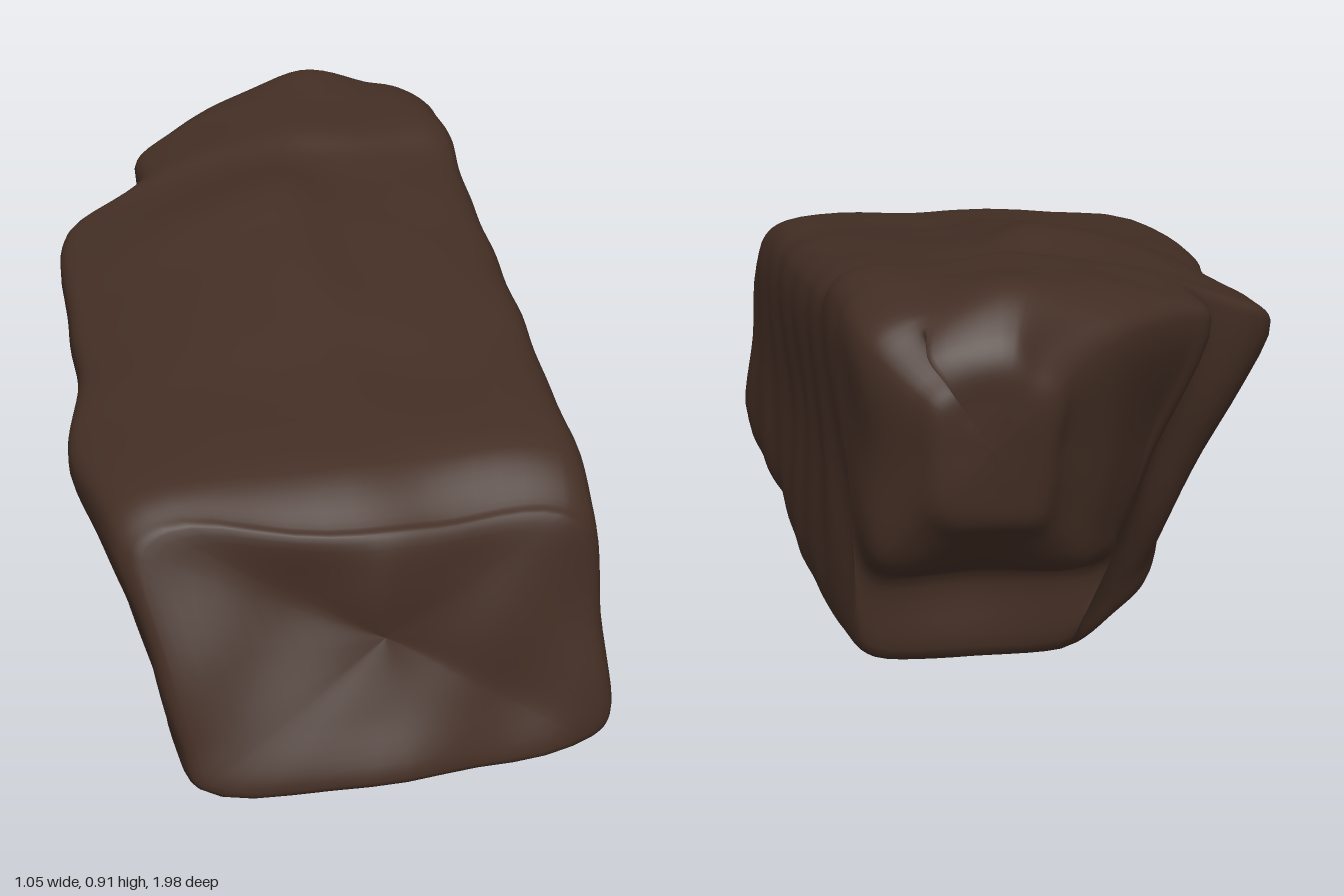
import * as THREE from 'three';

// Cross-sections from front to back:
// zBottom, zTop, yBottom, yLeft, yPeak, yRight, xBottomLeft, xLeft, xPeak, xRight, xBottomRight
const SECTIONS = [
  [0.99, 0.83, 0.01, 0.49, 0.50, 0.50, -0.36, -0.44, 0.00, 0.48, 0.51],
  [0.82, 0.72, 0.00, 0.52, 0.58, 0.58, -0.37, -0.47, 0.00, 0.485, 0.52],
  [0.45, 0.38, 0.01, 0.54, 0.645, 0.64, -0.37, -0.52, 0.00, 0.485, 0.52],
  [0.20, 0.20, 0.02, 0.57, 0.70, 0.68, -0.35, -0.48, 0.00, 0.485, 0.505],
  [-0.05, -0.05, 0.02, 0.60, 0.77, 0.72, -0.33, -0.47, 0.00, 0.485, 0.505],
  [-0.25, -0.23, 0.03, 0.635, 0.815, 0.75, -0.27, -0.465, 0.00, 0.485, 0.505],
  [-0.44, -0.44, 0.035, 0.67, 0.81, 0.79, -0.19, -0.44, 0.05, 0.49, 0.495],
  [-0.56, -0.54, 0.045, 0.75, 0.845, 0.835, -0.10, -0.265, 0.10, 0.49, 0.49],
  [-0.69, -0.68, 0.06, 0.76, 0.86, 0.85, 0.00, -0.25, 0.13, 0.49, 0.46],
  [-0.71, -0.74, 0.24, 0.78, 0.87, 0.85, -0.06, -0.19, 0.15, 0.49, 0.46],
  [-0.83, -0.87, 0.30, 0.80, 0.88, 0.83, 0.01, -0.04, 0.18, 0.46, 0.44],
  [-0.92, -0.95, 0.40, 0.76, 0.82, 0.76, 0.10, 0.08, 0.20, 0.38, 0.38],
];
const AROUND = 78;
const ALONG = 6;

// One closed ring with chamfered corners, leaning in z from bottom to top
function makeRing([zB, zT, yB, yL, yP, yR, xBL, xL, xP, xR, xBR], index) {
  const corners = [
    [xBL + 0.03, yB], [(xBL + xBR) / 2, yB], [xBR - 0.04, yB + 0.01], [xBR, yB + 0.05],
    [(xBR + xR) / 2, (yB + yR) / 2], [xR, yR - 0.05], [xR - 0.06, yR],
    [xP + 0.16, yP + (yR - yP) * 0.7], [xP, yP], [xL + 0.06, yL + 0.02], [xL, yL - 0.03],
    [xBL + (xL - xBL) * 0.45, (yB + yL) / 2], [xBL, yB + 0.08],
  ];
  const skew = [0.22, 0.1][index] ?? 0; // the front face turns back at both sides
  const points = corners.map(([x, y]) => {
    const v = (y - yB) / (yP - yB);
    const turn = skew * Math.max(x * (1 - 0.7 * v), -0.75 * x);
    return new THREE.Vector3(x, y, zB + (zT - zB) * v - turn);
  });
  const curve = new THREE.CatmullRomCurve3(points, true);
  return Array.from({ length: AROUND }, (_, j) => curve.getPoint(j / AROUND));
}

// Rings shrunk towards the centre close an end
function shrinkRing(ring, scale, push) {
  const centre = new THREE.Vector3();
  ring.forEach((p) => centre.addScaledVector(p, 1 / ring.length));
  return ring.map((p) => {
    const q = centre.clone().lerp(p, scale);
    q.z += push;
    return q;
  });
}

// Smooth, gentle dents in the surface
function weather(p) {
  const { x, y, z } = p;
  p.x += 0.003 * Math.sin(11 * y + 7 * z + 1) + 0.002 * Math.sin(23 * z - 13 * y);
  p.y += 0.002 * Math.sin(9 * x + 8 * z) + 0.002 * Math.sin(19 * x - 17 * z + 2);
  p.z += 0.004 * Math.sin(10 * x + 12 * y + 2) + 0.003 * Math.sin(21 * x - 16 * y);
}

function makeRockGeometry() {
  const body = SECTIONS.map(makeRing);
  const front = body[0];
  const back = body[body.length - 1];
  const rings = [
    shrinkRing(front, 0, 0.03), shrinkRing(front, 0.5, 0.03), shrinkRing(front, 0.94, 0.02),
    ...body,
    shrinkRing(back, 0.75, -0.035), shrinkRing(back, 0.4, -0.045), shrinkRing(back, 0, -0.05),
  ];

  // Smooth each lengthwise line through the rings
  const rows = (rings.length - 1) * ALONG;
  const lines = Array.from({ length: AROUND }, (_, j) =>
    new THREE.CatmullRomCurve3(rings.map((ring) => ring[j])));
  const positions = [];
  const indices = [];
  for (let i = 0; i <= rows; i++) {
    for (let j = 0; j < AROUND; j++) {
      const p = lines[j].getPoint(i / rows);
      weather(p);
      positions.push(p.x, p.y, p.z);
      if (i === rows) continue;
      const a = i * AROUND + j;
      const b = i * AROUND + ((j + 1) % AROUND);
      indices.push(a, a + AROUND, b, b, a + AROUND, b + AROUND);
    }
  }
  const geometry = new THREE.BufferGeometry();
  geometry.setAttribute('position', new THREE.Float32BufferAttribute(positions, 3));
  geometry.setIndex(indices);

  // Centre it and stand it on the ground
  geometry.computeBoundingBox();
  const { min, max } = geometry.boundingBox;
  geometry.translate(-(min.x + max.x) / 2, -min.y, -(min.z + max.z) / 2);
  geometry.computeVertexNormals();
  return geometry;
}

export function createModel() {
  const stone = new THREE.MeshStandardMaterial({ color: 0x432e24 });
  stone.name = 'dark brown stone';
  const rock = new THREE.Mesh(makeRockGeometry(), stone);
  rock.name = 'rock';
  const group = new THREE.Group();
  group.name = 'boulder';
  group.add(rock);
  return group;
}
